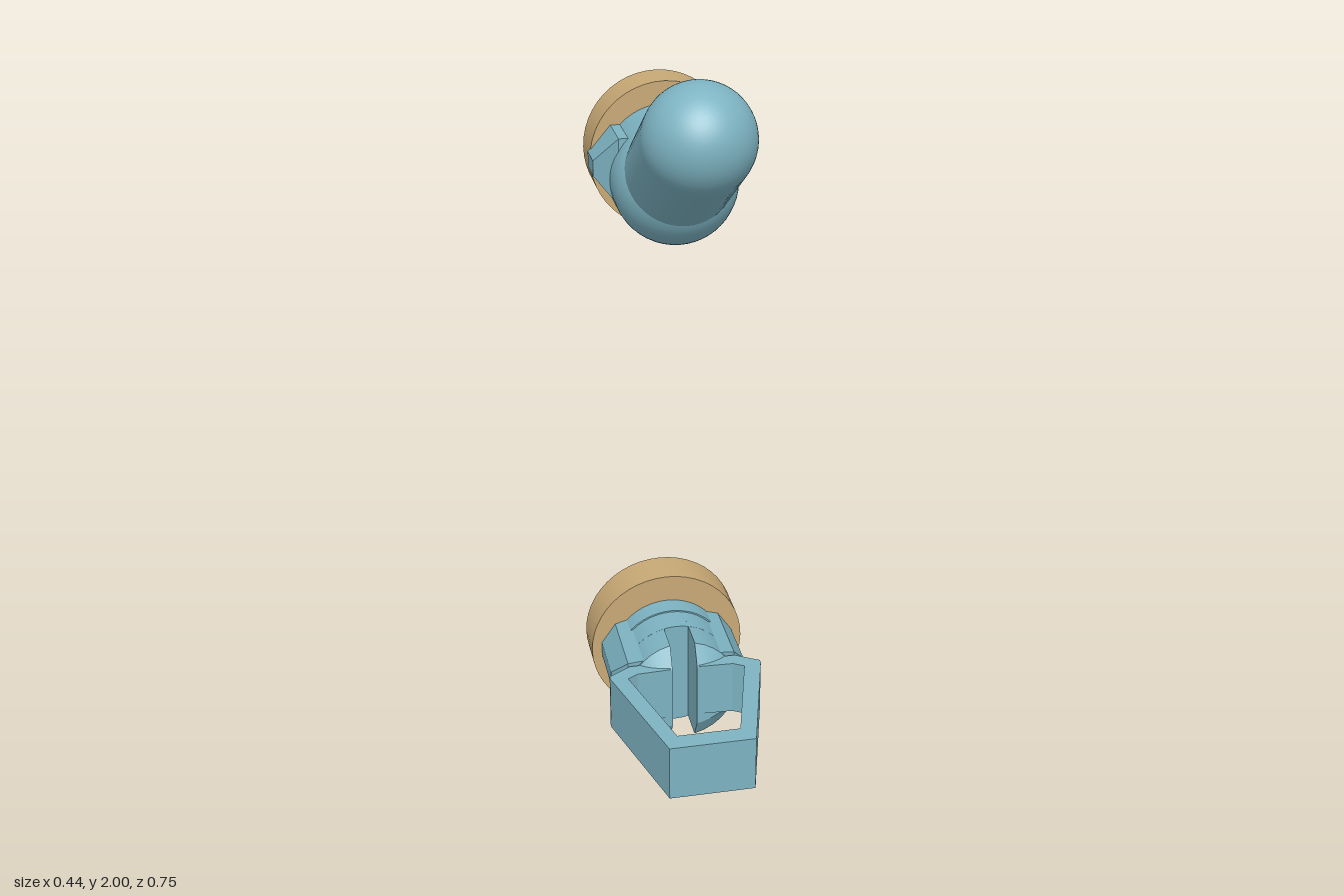
import * as THREE from 'three';
import { toCreasedNormals } from 'three/addons/utils/BufferGeometryUtils.js';
import { ConvexGeometry } from 'three/addons/geometries/ConvexGeometry.js';

const blue = new THREE.MeshStandardMaterial({ color: 0x7db3c2 });
const tan = new THREE.MeshStandardMaterial({ color: 0xc8a975 });

function part(name, geometry, material, y = 0, z = 0) {
  const mesh = new THREE.Mesh(geometry, material);
  mesh.name = name;
  mesh.position.set(0, y, z);
  return mesh;
}

// Round part along z, from [radius, z] pairs going forwards
function turned(profile) {
  const g = new THREE.LatheGeometry(profile.map(([r, z]) => new THREE.Vector2(r, z)), 48);
  return toCreasedNormals(g.rotateX(Math.PI / 2), 0.5);
}

const disc = (r) => turned([[0, -0.375], [r, -0.375], [r, -0.26], [0, -0.26]]);

// Side lug: a wedge from a broad foot out to a narrow crest
function lug(side, levels) {
  const points = [];
  for (const { x, half, front } of levels) {
    for (const y of [-half, half]) {
      for (const z of [-0.27, front]) points.push(new THREE.Vector3(side * x, y, z));
    }
  }
  return new ConvexGeometry(points);
}

// Prong: the part of the neck beside the slot, tapering at its front
function prong(side) {
  const radius = 0.156;
  const slot = 0.035;
  const reach = Math.acos(slot / radius);
  const points = [];
  for (let i = 0; i <= 14; i++) {
    const a = reach * (i / 7 - 1);
    const x = radius * Math.cos(a);
    const y = radius * Math.sin(a);
    points.push(new THREE.Vector3(side * x, y, -0.15), new THREE.Vector3(side * x, y, -0.03));
    points.push(new THREE.Vector3(side * Math.max(slot, x * 0.87), y * 0.62, 0.005));
  }
  return toCreasedNormals(new ConvexGeometry(points), 0.4);
}

function addPair(group, name, y, build) {
  for (const [label, side] of [['left', 1], ['right', -1]]) {
    group.add(part(label + name, build(side), blue, y));
  }
}

function upperPeg() {
  const group = new THREE.Group();
  group.name = 'upperPeg';
  group.add(part('upperDisc', disc(0.194), tan, 1.696));

  // Neck ending in a rounded elbow
  const profile = [[0.161, -0.27]];
  for (let i = 0; i <= 16; i++) {
    const a = (i / 16) * Math.PI / 2;
    profile.push([0.161 * Math.cos(a), -0.12 + 0.161 * Math.sin(a)]);
  }
  group.add(part('upperNeck', turned(profile), blue, 1.671));

  // Raised arm with a round tip
  const from = new THREE.Vector3(0, 1.675, -0.115);
  const to = new THREE.Vector3(0, 1.861, 0.171);
  const arm = new THREE.CapsuleGeometry(0.139, from.distanceTo(to), 16, 48);
  arm.rotateX(Math.atan2(to.z - from.z, to.y - from.y));
  const mid = from.clone().add(to).multiplyScalar(0.5);
  group.add(part('arm', arm, blue, mid.y, mid.z));

  addPair(group, 'UpperLug', 1.695, (side) => lug(side, [
    { x: 0.1, half: 0.088, front: -0.135 },
    { x: 0.14, half: 0.088, front: -0.135 },
    { x: 0.198, half: 0.02, front: -0.185 },
  ]));
  return group;
}

function lowerClasp() {
  const group = new THREE.Group();
  group.name = 'lowerClasp';
  group.add(part('lowerDisc', disc(0.221), tan, 0.221));

  // Neck, split by an upright slot at its front
  group.add(part('lowerNeck', turned([
    [0.16, -0.27], [0.16, -0.2], [0.156, -0.2], [0.156, -0.12], [0, -0.12],
  ]), blue, 0.204));
  addPair(group, 'Prong', 0.204, prong);
  addPair(group, 'LowerLug', 0.222, (side) => lug(side, [
    { x: 0.1, half: 0.095, front: -0.03 },
    { x: 0.152, half: 0.08, front: -0.045 },
    { x: 0.192, half: 0.022, front: -0.1 },
  ]));

  // Angular loop with its two ends set into the prongs
  const half = [
    [0.085, 0.321], [0.164, 0.03], [0.135, 0.012], [0.04, 0.008],
    [0.04, -0.03], [0.15, -0.03], [0.213, 0.009], [0.213, 0.022], [0.116, 0.374],
  ];
  const outline = [...half, ...half.map(([x, z]) => [-x, z]).reverse()];
  const shape = new THREE.Shape(outline.map(([x, z]) => new THREE.Vector2(x, z)));
  const loop = new THREE.ExtrudeGeometry(shape, { depth: 0.158, bevelEnabled: false });
  group.add(part('loop', loop.rotateX(Math.PI / 2), blue, 0.302));
  return group;
}

export function createModel() {
  const model = new THREE.Group();
  model.name = 'pegAndClasp';
  model.add(upperPeg(), lowerClasp());
  return model;
}
